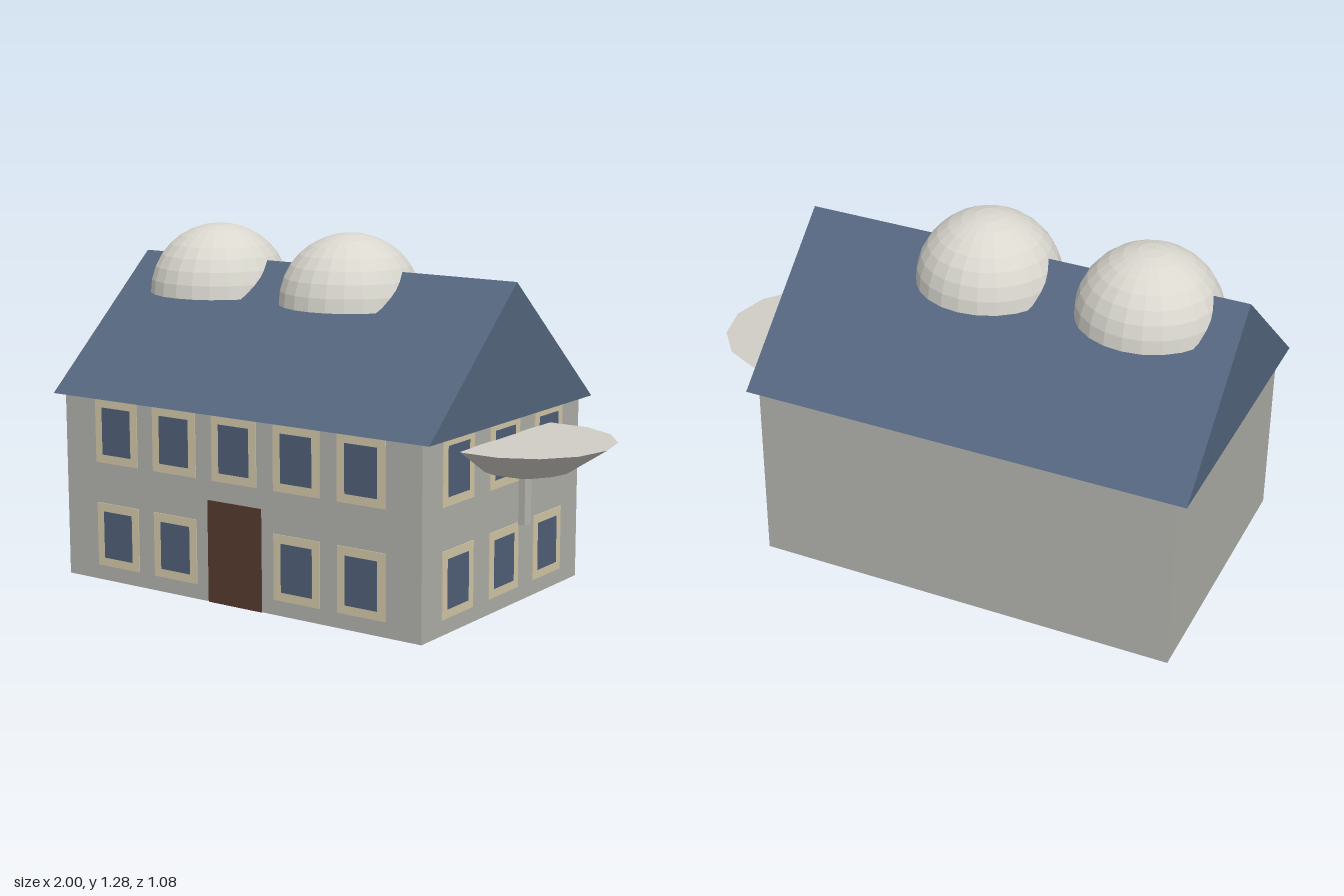
import * as THREE from 'three';

function makeMaterial(name, color) {
  const m = new THREE.MeshStandardMaterial({ color, flatShading: true });
  m.name = name;
  return m;
}

export function createModel() {
  const model = new THREE.Group();
  model.name = 'houseWithDomes';

  const wallMat = makeMaterial('stone grey', 0xb0b0aa);
  const roofMat = makeMaterial('slate blue', 0x55667f);
  const frameMat = makeMaterial('sand', 0xd2c7a8);
  const glassMat = makeMaterial('window blue', 0x506078);
  const doorMat = makeMaterial('door brown', 0x553a2c);
  const domeMat = makeMaterial('dome white', 0xd9d7ce);
  const dishMat = makeMaterial('dish white', 0xd0cec6);

  const add = (parent, name, geometry, material, x = 0, y = 0, z = 0) => {
    const mesh = new THREE.Mesh(geometry, material);
    mesh.name = name;
    mesh.position.set(x, y, z);
    parent.add(mesh);
    return mesh;
  };

  const cx = -0.18, width = 1.56, depth = 1.04, eaves = 0.68;

  // Walls
  add(model, 'walls', new THREE.BoxGeometry(width, eaves, depth), wallMat, cx, eaves / 2, 0);

  // Gabled roof, a triangular prism along x
  const gable = new THREE.Shape([
    new THREE.Vector2(-0.542, 0),
    new THREE.Vector2(0.542, 0),
    new THREE.Vector2(0, 0.475),
  ]);
  const roofGeo = new THREE.ExtrudeGeometry(gable, { depth: 1.64, bevelEnabled: false });
  roofGeo.translate(0, 0, -0.82).rotateY(Math.PI / 2);
  add(model, 'roof', roofGeo, roofMat, cx, eaves, 0);

  // Windows: a thin frame plate with a glass plate on it
  const frameGeo = new THREE.BoxGeometry(0.196, 0.236, 0.006);
  const glassGeo = new THREE.BoxGeometry(0.132, 0.174, 0.009);
  const addWindow = (x, y, z, turn) => {
    const win = new THREE.Group();
    win.name = 'window';
    add(win, 'windowFrame', frameGeo, frameMat);
    add(win, 'windowGlass', glassGeo, glassMat);
    win.position.set(x, y, z);
    win.rotation.y = turn;
    model.add(win);
  };
  for (const y of [0.173, 0.56]) {
    for (let i = -2; i <= 2; i++) {
      if (i === 0 && y < 0.3) continue; // the door goes here
      addWindow(cx + i * 0.269, y, depth / 2, 0);
    }
    for (const z of [-0.3, 0, 0.3]) addWindow(cx + width / 2, y, z, Math.PI / 2);
  }

  // Front door
  add(model, 'door', new THREE.BoxGeometry(0.235, 0.37, 0.009), doorMat, cx, 0.185, depth / 2);

  // Two domes astride the ridge, each closed by a flat underside
  for (const x of [-0.647, -0.05]) {
    const dome = new THREE.Group();
    dome.name = 'roofDome';
    const shell = new THREE.SphereGeometry(0.26, 24, 8, 0, Math.PI * 2, 0, Math.PI / 2);
    shell.scale(1, 0.98, 1);
    add(dome, 'domeShell', shell, domeMat);
    add(dome, 'domeUnderside', new THREE.CircleGeometry(0.26, 24).rotateX(Math.PI / 2), domeMat);
    dome.position.set(x, 1.025, 0);
    model.add(dome);
  }

  // Dish beside the wall: shallow bowl with a flat top, on a short post
  const profile = [[0, 0], [0.16, 0.04], [0.313, 0.14], [0, 0.14]];
  const dishGeo = new THREE.LatheGeometry(
    profile.map(([r, y]) => new THREE.Vector2(r, y)), 14, Math.PI / 2);
  add(model, 'dish', dishGeo, dishMat, 0.685, 0.475, 0);
  const postGeo = new THREE.CylinderGeometry(0.025, 0.025, 0.165, 6, 1, false, Math.PI / 2);
  add(model, 'dishPost', postGeo, wallMat, 0.683, 0.4, 0);

  return model;
}
